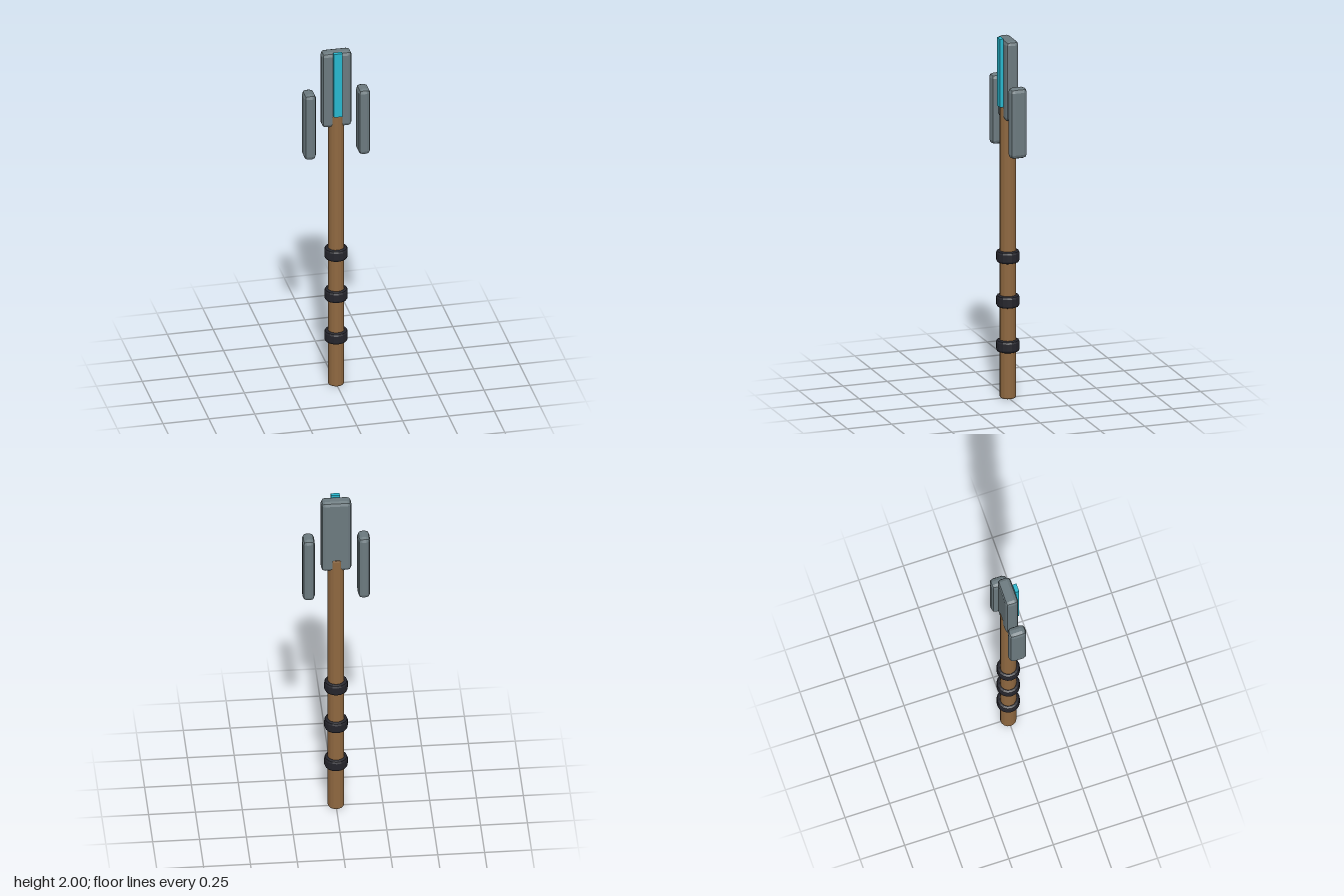
import * as THREE from 'three';
import { RoundedBoxGeometry } from 'three/addons/geometries/RoundedBoxGeometry.js';

const SIDES = 16;

function material(name, color) {
  const m = new THREE.MeshStandardMaterial({ color });
  m.name = name;
  m.flatShading = true;
  return m;
}

// Solid cylinder with bevelled rims, standing from y = 0 to y = height
function bevelledCylinder(radius, height, bevel) {
  const mid = bevel * 0.3;
  const points = [
    [0, 0], [radius - bevel, 0], [radius - mid, mid], [radius, bevel],
    [radius, height - bevel], [radius - mid, height - mid], [radius - bevel, height], [0, height],
  ].map(([x, y]) => new THREE.Vector2(x, y));
  return new THREE.LatheGeometry(points, SIDES);
}

export function createModel() {
  const wood = material('wood', 0x8f6840);
  const metal = material('greyMetal', 0x6c7a7f);
  const grip = material('darkGrip', 0x25252c);
  const glow = material('cyanInlay', 0x28b8d0);

  const group = new THREE.Group();
  group.name = 'staff';
  const add = (name, geometry, mat, x, y, z) => {
    const mesh = new THREE.Mesh(geometry, mat);
    mesh.name = name;
    mesh.position.set(x, y, z);
    group.add(mesh);
  };

  // Wooden shaft
  add('shaft', bevelledCylinder(0.044, 1.625, 0.01), wood, 0, 0, 0);

  // Grip bands around the lower shaft
  const bandHeight = 0.066;
  for (const y of [0.292, 0.54, 0.787]) {
    add('gripBand', bevelledCylinder(0.063, bandHeight, 0.014), grip, 0, y - bandHeight / 2, 0);
  }

  // Central head plate
  add('headPlate', new RoundedBoxGeometry(0.162, 0.445, 0.071, 1, 0.021), metal, 0, 1.773, -0.001);

  // Floating side prongs
  for (const [name, side] of [['leftProng', 1], ['rightProng', -1]]) {
    add(name, new RoundedBoxGeometry(0.065, 0.39, 0.096, 1, 0.023), metal, side * 0.148, 1.567, -0.001);
  }

  // Cyan strip on the front of the head
  add('inlayStrip', new THREE.BoxGeometry(0.047, 0.378, 0.022), glow, 0, 1.811, 0.043);

  return group;
}
